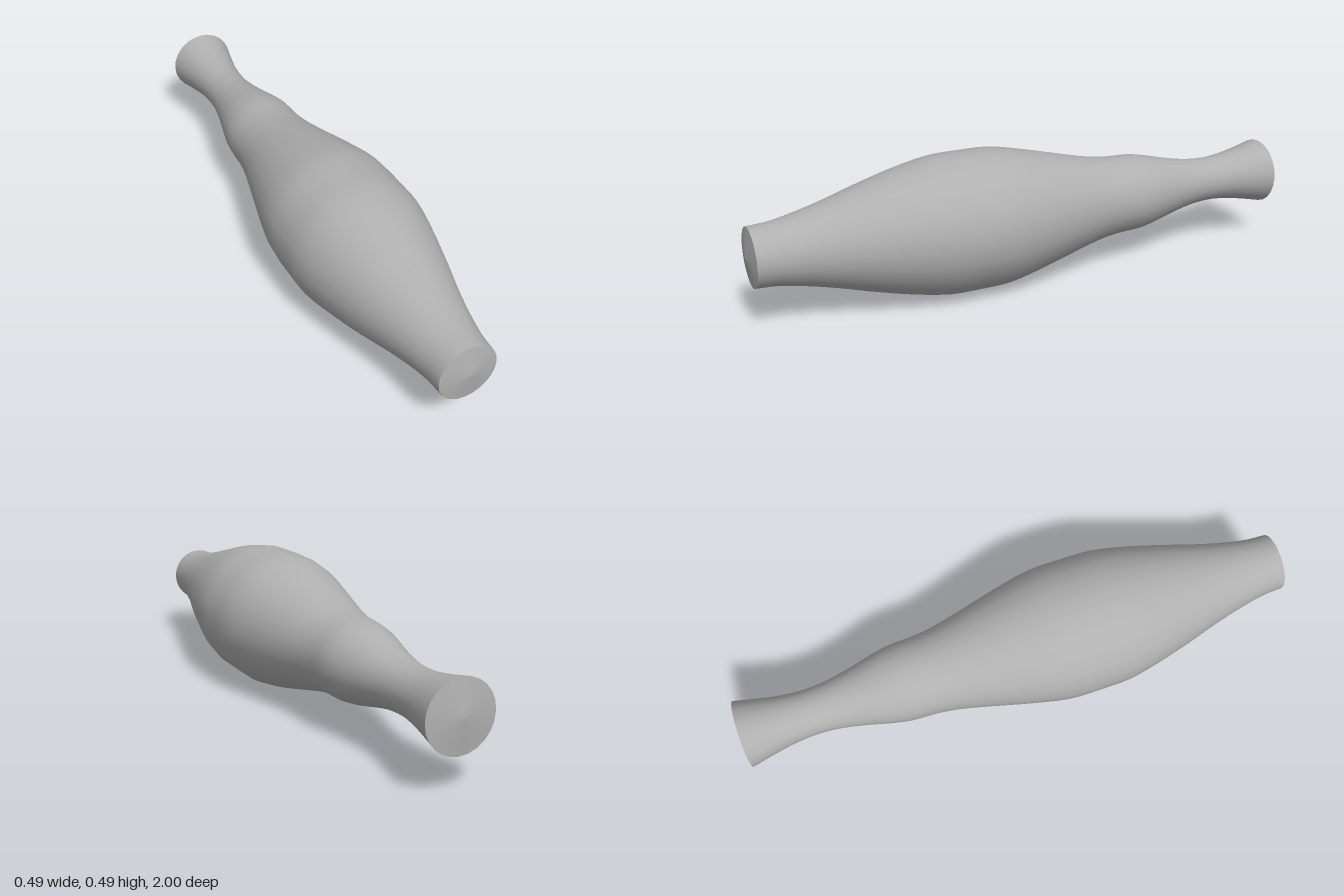
import * as THREE from 'three';

const SIDES = 24;
const AXIS_HEIGHT = 0.245;

// Turns a [z, radius] profile (back to front) around the z axis
function turned(name, profile, material) {
  const geometry = new THREE.LatheGeometry(profile.map(([z, r]) => new THREE.Vector2(r, z)), SIDES);
  geometry.rotateX(Math.PI / 2);
  const mesh = new THREE.Mesh(geometry, material);
  mesh.name = name;
  return mesh;
}

export function createModel() {
  const group = new THREE.Group();
  group.name = 'turnedHandle';
  const grey = new THREE.MeshStandardMaterial({ color: 0xb0b0b0 });
  grey.name = 'grey';

  // Body: flared back end, thin neck, small shoulder, wide belly, narrow front end
  const keys = [
    [-0.985, 0.119], [-0.9, 0.1], [-0.82, 0.086], [-0.74, 0.081], [-0.66, 0.087],
    [-0.57, 0.105], [-0.49, 0.125], [-0.42, 0.138], [-0.33, 0.142], [-0.25, 0.153],
    [-0.14, 0.179], [0, 0.214], [0.13, 0.24], [0.24, 0.2425], [0.35, 0.24],
    [0.47, 0.217], [0.6, 0.183], [0.72, 0.148], [0.82, 0.123], [0.91, 0.106], [0.985, 0.101],
  ];
  const curve = new THREE.CatmullRomCurve3(keys.map(([z, r]) => new THREE.Vector3(r, z, 0)));
  const body = curve.getPoints(60).map((p) => [p.y, p.x]);
  group.add(turned('body', body, grey));

  // Slightly domed end caps
  group.add(turned('backCap', [[-1, 0], [-0.985, 0.119]], grey));
  group.add(turned('frontCap', [[0.985, 0.101], [1, 0]], grey));

  group.position.y = AXIS_HEIGHT;
  return group;
}
